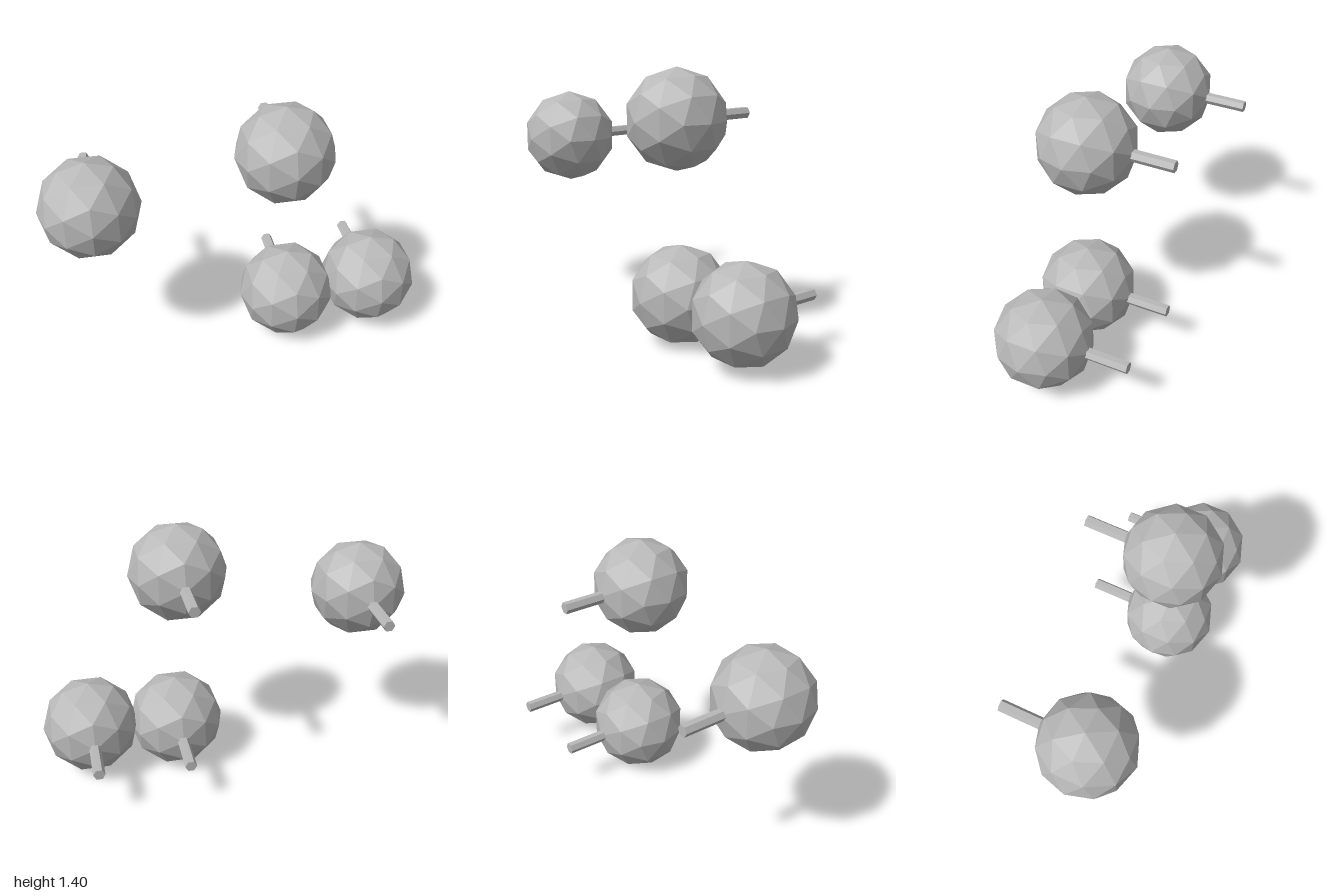
import * as THREE from 'three';

const RADIUS = 0.257;
const BALL_Z = 0.105;
const ROD_RADIUS = 0.031;
const ROD_BACK = -0.362;

// Centres of the four balls: x, y
const POSITIONS = [
  [-0.743, 0.957],
  [0.237, 1.148],
  [0.272, 0.261],
  [0.741, 0.286],
];

export function createModel() {
  const model = new THREE.Group();
  model.name = 'ballsOnPegs';
  const grey = new THREE.MeshStandardMaterial({ color: 0xb8b8b8 });
  grey.name = 'grey';
  grey.flatShading = true;

  // Faceted ball
  const ballGeometry = new THREE.IcosahedronGeometry(RADIUS, 1);

  // Six-sided peg along z, flat on top, starting at the ball's centre
  const length = BALL_Z - ROD_BACK;
  const pegGeometry = new THREE.CylinderGeometry(ROD_RADIUS, ROD_RADIUS, length, 6);
  pegGeometry.rotateY(Math.PI / 6);
  pegGeometry.rotateX(Math.PI / 2);
  pegGeometry.translate(0, 0, -length / 2);

  POSITIONS.forEach(([x, y], i) => {
    const unit = new THREE.Group();
    unit.name = `ballWithPeg${i + 1}`;
    const ball = new THREE.Mesh(ballGeometry, grey);
    ball.name = 'ball';
    const peg = new THREE.Mesh(pegGeometry, grey);
    peg.name = 'peg';
    unit.add(ball, peg);
    unit.position.set(x, y, BALL_Z);
    model.add(unit);
  });

  return model;
}
